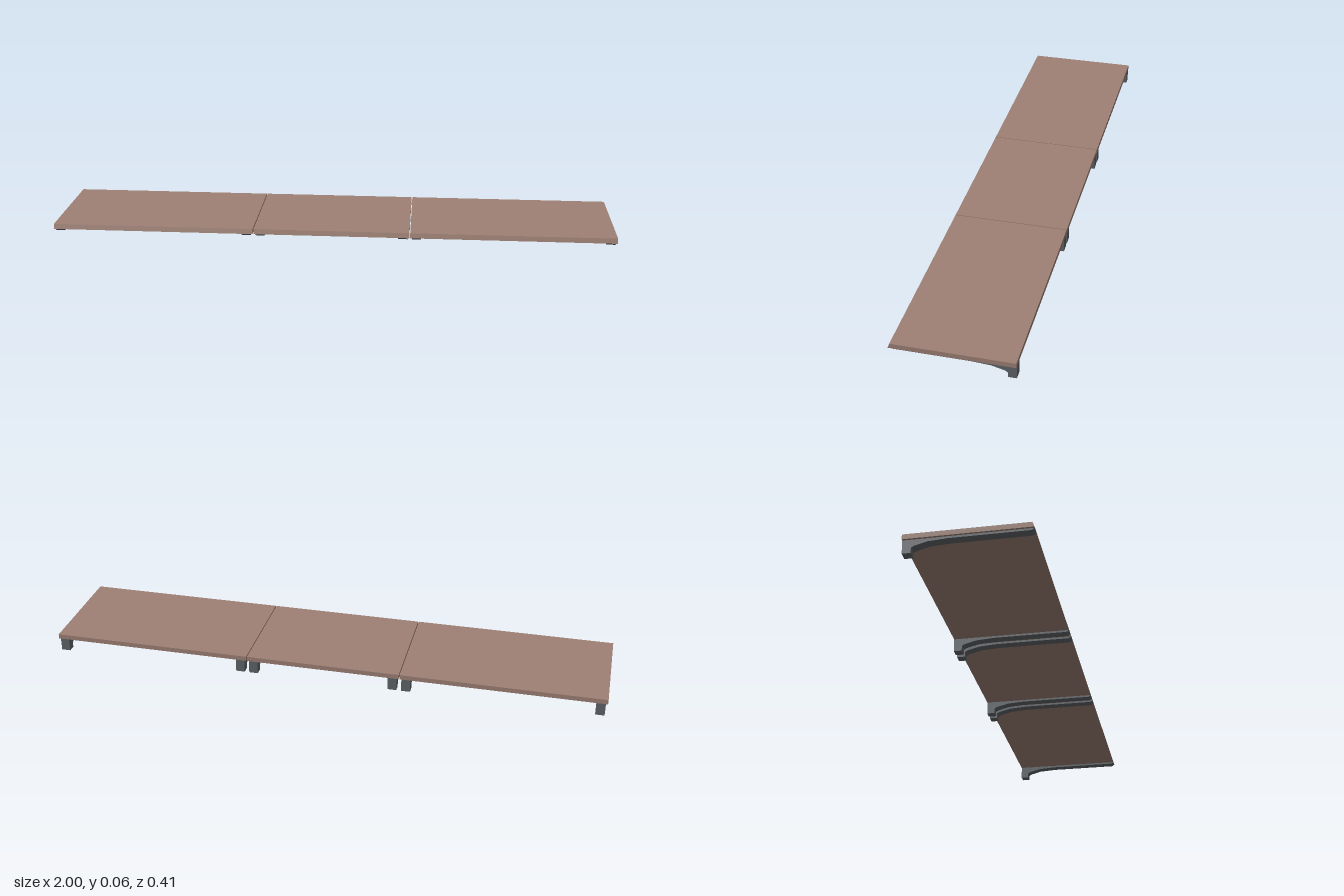
import * as THREE from 'three';

// Extrude a side profile of [z, y] points along x, from x0 to x1
function profileMesh(name, points, x0, x1, material) {
  const shape = new THREE.Shape(points.map(([z, y]) => new THREE.Vector2(z, y)));
  const geometry = new THREE.ExtrudeGeometry(shape, { depth: x1 - x0, bevelEnabled: false });
  geometry.rotateY(-Math.PI / 2);
  geometry.translate(x1, 0, 0);
  const mesh = new THREE.Mesh(geometry, material);
  mesh.name = name;
  return mesh;
}

export function createModel() {
  const wood = new THREE.MeshStandardMaterial({ color: 0x9e8074 });
  wood.name = 'brown board';
  const metal = new THREE.MeshStandardMaterial({ color: 0x5f6469 });
  metal.name = 'grey bracket';

  const model = new THREE.Group();
  model.name = 'sectionalBench';

  // Board with a sloping front edge
  const boardProfile = [
    [-0.203, 0.046], [0.203, 0.046], [0.197, 0.063], [-0.203, 0.063],
  ];
  // Bracket: slim arm that curves down into a rear foot
  const bracketProfile = [
    [-0.203, 0], [-0.175, 0], [-0.175, 0.018], [-0.165, 0.024], [-0.123, 0.035],
    [-0.06, 0.039], [0.194, 0.039], [0.203, 0.046], [-0.203, 0.046],
  ];

  // Three sections side by side, each carried by a bracket at both ends
  const sections = [
    ['right', -1, -0.281],
    ['middle', -0.278, 0.275],
    ['left', 0.278, 1],
  ];
  const inset = 0.007;
  const width = 0.032;
  for (const [side, x0, x1] of sections) {
    const section = new THREE.Group();
    section.name = `${side}Section`;
    section.add(
      profileMesh('board', boardProfile, x0, x1, wood),
      profileMesh('rightBracket', bracketProfile, x0 + inset, x0 + inset + width, metal),
      profileMesh('leftBracket', bracketProfile, x1 - inset - width, x1 - inset, metal),
    );
    model.add(section);
  }
  return model;
}
